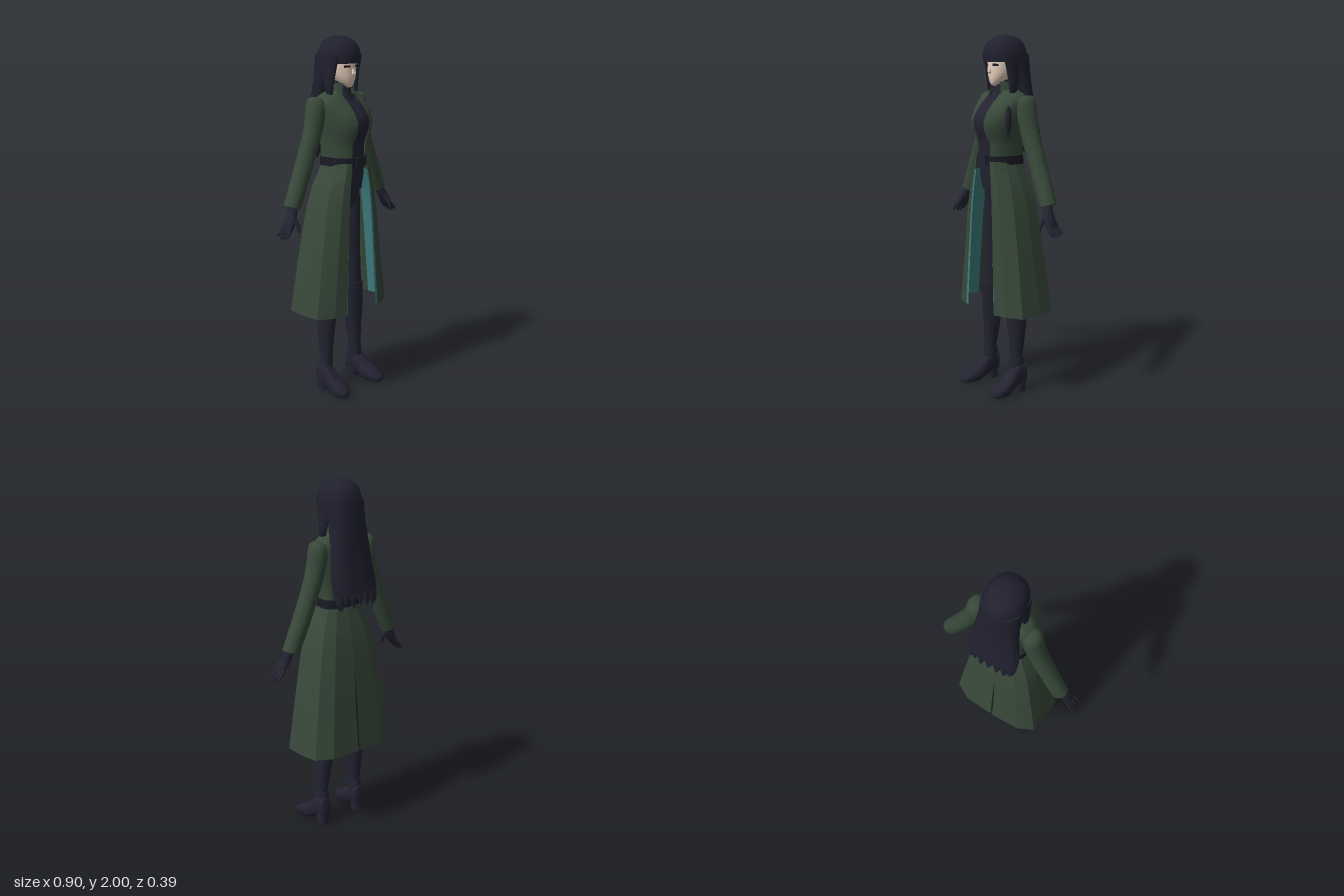
import * as THREE from 'three';
import { toCreasedNormals } from 'three/addons/utils/BufferGeometryUtils.js';

const V = (x, y, z) => new THREE.Vector3(x, y, z);
const spow = (v, p) => Math.sign(v) * Math.abs(v) ** p;

// Closed ring around c with half axes u and v; p below 1 makes it boxier
function ring(c, u, v, n = 20, p = 1, ripple = 0) {
  return Array.from({ length: n }, (_, i) => {
    const t = (i / n) * Math.PI * 2, r = 1 + ripple * (i % 2 ? 1 : -1);
    return c.clone().addScaledVector(u, r * spow(Math.cos(t), p)).addScaledVector(v, r * spow(Math.sin(t), p));
  });
}
// Horizontal ring with different depths in front (f) and behind (b)
function body(y, rx, f, b, cz = -0.01, p = 0.8, n = 32) {
  return ring(V(0, y, 0), V(rx, 0, 0), V(0, 0, 1), n, p).map((q) => V(q.x, y, cz + q.z * (q.z > 0 ? f - cz : cz - b)));
}
const oval = (x, y, z, rx, rz, n = 20) => ring(V(x, y, z), V(rx, 0, 0), V(0, 0, rz), n);
const limb = (x, y, z, a, b, tilt, n = 16) =>
  ring(V(x, y, z), V(a * Math.cos(tilt), a * Math.sin(tilt), 0), V(0, 0, b), n);

// Skin a list of rings (capped solid) or open rows (sheet)
function loft(rows, closed = true, crease = 0.9) {
  const n = rows[0].length, pts = rows.flat(), idx = [];
  const m = closed ? n : n - 1;
  for (let i = 0; i < rows.length - 1; i++) for (let j = 0; j < m; j++) {
    const a = i * n + j, b = i * n + ((j + 1) % n);
    idx.push(a, b, b + n, a, b + n, a + n);
  }
  if (closed) for (const [row, first] of [[rows[0], 0], [rows.at(-1), (rows.length - 1) * n]]) {
    const c = row.reduce((s, q) => s.add(q), V(0, 0, 0)).divideScalar(n);
    const k = pts.push(c) - 1;
    for (let j = 0; j < n; j++) {
      const a = first + j, b = first + ((j + 1) % n);
      if (first === 0) idx.push(k, b, a); else idx.push(k, a, b);
    }
  }
  // turn solids outwards
  let vol = 0;
  for (let i = 0; i < idx.length; i += 3) vol += pts[idx[i]].dot(pts[idx[i + 1]].clone().cross(pts[idx[i + 2]]));
  if (closed && vol < 0) idx.reverse();
  const g = new THREE.BufferGeometry().setFromPoints(pts);
  g.setIndex(idx);
  return toCreasedNormals(g, crease);
}

export function createModel() {
  const model = new THREE.Group();
  const mat = (name, color, side = THREE.FrontSide) => {
    const m = new THREE.MeshStandardMaterial({ color, side });
    m.name = name;
    return m;
  };
  const green = mat('coat green', 0x38493a, THREE.DoubleSide);
  const teal = mat('lining teal', 0x3f7f80, THREE.DoubleSide);
  const dark = mat('dark cloth', 0x232332);
  const hair = mat('hair', 0x20202f);
  const black = mat('belt black', 0x1a1a26);
  const skin = mat('skin', 0xe6d0bc);

  const add = (name, geo, m) => {
    const mesh = new THREE.Mesh(geo, m);
    mesh.name = name;
    model.add(mesh);
    return mesh;
  };
  const both = (name, rows, m, closed = true, crease = 0.9) => {
    for (const s of [1, -1])
      add((s > 0 ? 'left ' : 'right ') + name, loft(rows.map((r) => r.map((q) => V(q.x * s, q.y, q.z))), closed, crease), m);
  };

  // Coat top: y, half width, front depth, back depth
  const chest = [
    [1.71, 0.075, 0.066, -0.05], [1.69, 0.135, 0.07, -0.06], [1.67, 0.158, 0.085, -0.08], [1.645, 0.162, 0.115, -0.085],
    [1.61, 0.155, 0.145, -0.09], [1.58, 0.15, 0.168, -0.09], [1.55, 0.145, 0.18, -0.085], [1.5, 0.135, 0.177, -0.08],
    [1.46, 0.125, 0.162, -0.075], [1.42, 0.118, 0.151, -0.07], [1.33, 0.116, 0.152, -0.06]];
  const P = 0.8, CZ = -0.01;
  both('coat front and back', chest.map(([y, rx, f, b]) => {
    const t0 = Math.acos((0.052 / rx) ** (1 / P));
    return Array.from({ length: 19 }, (_, i) => {
      const t = t0 - (i / 18) * (t0 + Math.PI / 2), s = spow(Math.sin(t), P);
      return V(i === 18 ? 0 : rx * Math.cos(t) ** P, y, CZ + s * (s > 0 ? f - CZ : CZ - b));
    });
  }), green, false);

  // Lapels follow the chest
  const chestZ = (y, x) => {
    const i = Math.max(1, chest.findIndex((r) => r[0] <= y + 1e-6));
    const [a, b] = [chest[i - 1], chest[i]], k = (a[0] - y) / (a[0] - b[0]);
    const rx = a[1] + (b[1] - a[1]) * k, f = a[2] + (b[2] - a[2]) * k;
    return CZ + (f - CZ) * Math.max(0, 1 - (x / rx) ** (2 / P)) ** (P / 2);
  };
  const lapel = [[1.69, 0.075], [1.67, 0.088], [1.645, 0.102], [1.61, 0.125], [1.595, 0.112], [1.55, 0.1], [1.5, 0.08], [1.45, 0.056]];
  both('lapel', lapel.map(([y, w]) => [0, 1, 2, 3, 4].map((i) => {
    const x = 0.05 + ((w - 0.05) * i) / 4;
    return V(x, y, chestZ(y, x) + 0.008);
  })), green, false);

  // Standing collar
  both('collar', [[1.685, 0.08, 0.072], [1.72, 0.07, 0.068], [1.755, 0.066, 0.07]].map(([y, rx, f]) =>
    Array.from({ length: 10 }, (_, i) => {
      const t = 0.9 - (i / 9) * (0.9 + Math.PI / 2), s = Math.sin(t);
      return V(i === 9 ? 0 : rx * Math.cos(t), y, 0.01 + s * (s > 0 ? f : 0.055));
    })), green, false);

  // Faceted coat skirt, open in front and slit behind
  const waist = [[0.06, 0.15], [0.085, 0.14], [0.11, 0.08], [0.117, 0.02], [0.102, -0.035], [0.06, -0.058], [0, -0.065]];
  const hem = [[0.13, 0.178], [0.205, 0.156], [0.288, 0.1], [0.287, -0.02], [0.272, -0.122], [0.18, -0.17], [0, -0.177]];
  const levels = [[1.33, 0], [1.27, 0.12], [1.2, 0.29], [1.1, 0.45], [1.0, 0.56], [0.75, 0.78], [0.485, 1]];
  const skirtRow = ([y, k]) => waist.map(([x, z], i) =>
    V(i === 6 ? (y < 1 ? 0.005 : 0) : x + (hem[i][0] - x) * k, y, z + (hem[i][1] - z) * k));
  both('coat skirt', levels.map(skirtRow), green, false, 0.15);
  both('skirt lining', levels.slice(1).map((l) => skirtRow(l).slice(0, 4).map((q, i) =>
    V(q.x - (i ? 0.007 : 0.011 * l[1]), q.y, q.z - (i < 2 ? 0.006 : 0.002)))), teal, false, 0.15);

  // Belt and buckle
  add('belt', loft([body(1.31, 0.124, 0.157, -0.07), body(1.358, 0.122, 0.157, -0.067)]), black);
  add('buckle', new THREE.BoxGeometry(0.07, 0.054, 0.012), dark).position.set(0, 1.334, 0.157);

  // Shirt, turtleneck and hips
  add('shirt', loft([...chest.slice(2).map(([y, rx, f, b]) => body(y, rx - 0.012, f - 0.006, b + 0.012)),
    body(1.25, 0.103, 0.142, -0.05), body(1.17, 0.106, 0.125, -0.06)]), dark);
  add('hips', loft([body(1.2, 0.102, 0.115, -0.06), body(1.12, 0.11, 0.1, -0.065), body(1.06, 0.085, 0.07, -0.05)]), dark);
  add('turtleneck', loft([oval(0, 1.765, 0.022, 0.045, 0.045), oval(0, 1.7, 0.018, 0.05, 0.05), oval(0, 1.64, 0.02, 0.075, 0.085)]), dark);

  // Sleeves and cuffs
  both('sleeve', [limb(0.165, 1.683, -0.02, 0.022, 0.03, 0.1), limb(0.163, 1.668, -0.02, 0.042, 0.05, 0.15),
    limb(0.163, 1.63, -0.02, 0.054, 0.058, 0.25), limb(0.172, 1.57, -0.02, 0.055, 0.056, 0.32), limb(0.193, 1.49, -0.02, 0.051, 0.052, 0.37),
    limb(0.235, 1.38, -0.021, 0.05, 0.05, 0.37), limb(0.275, 1.285, -0.021, 0.05, 0.049, 0.37), limb(0.352, 1.112, -0.02, 0.048, 0.046, 0.37)], green);

  // Gloves
  both('glove', [limb(0.345, 1.135, -0.015, 0.028, 0.026, 0.4), limb(0.367, 1.085, -0.005, 0.025, 0.028, 0.45),
    limb(0.385, 1.05, 0.002, 0.024, 0.036, 0.5), limb(0.407, 1.015, 0.003, 0.019, 0.038, 0.55), limb(0.415, 1.003, 0.003, 0.01, 0.03, 0.55)], dark);
  [[-0.026, -0.034, 0.972], [-0.008, -0.012, 0.96], [0.011, 0.012, 0.962], [0.029, 0.036, 0.972]].forEach(([z0, z1, y1], i) =>
    both('finger ' + (i + 1), [limb(0.402, 1.022, z0, 0.012, 0.011, 0.6, 8), limb(0.427, 0.993, (z0 + z1) / 2, 0.011, 0.01, 0.6, 8),
      limb(0.447, y1, z1, 0.006, 0.006, 0.6, 8)], dark));
  both('thumb', [limb(0.376, 1.065, 0.02, 0.014, 0.016, 0.2, 8), limb(0.376, 1.025, 0.05, 0.012, 0.012, 0.2, 8),
    limb(0.378, 0.99, 0.06, 0.006, 0.006, 0.2, 8)], dark);

  // Trouser legs and tall boot shafts
  both('leg', [oval(0.055, 1.14, 0.015, 0.054, 0.075), oval(0.062, 1.0, 0.015, 0.052, 0.073), oval(0.074, 0.82, 0.012, 0.049, 0.066),
    oval(0.088, 0.68, 0.012, 0.048, 0.06), oval(0.098, 0.56, 0.01, 0.05, 0.058)], dark);
  both('boot shaft', [oval(0.096, 0.605, 0.012, 0.056, 0.064), oval(0.105, 0.52, 0.006, 0.058, 0.064), oval(0.113, 0.42, 0.003, 0.053, 0.059),
    oval(0.118, 0.3, 0.005, 0.041, 0.046), oval(0.122, 0.2, 0.012, 0.033, 0.036), oval(0.126, 0.11, 0.008, 0.036, 0.042)], dark);
  both('ankle strap', [oval(0.122, 0.2, 0.011, 0.037, 0.041), oval(0.123, 0.165, 0.009, 0.039, 0.043)], dark);
  // Boot foot: z, bottom, top, half width
  const foot = [[-0.046, 0.06, 0.12, 0.018], [-0.036, 0.045, 0.16, 0.035], [0.02, 0.038, 0.17, 0.04], [0.06, 0.018, 0.13, 0.043],
    [0.1, 0, 0.095, 0.047], [0.15, 0, 0.065, 0.047], [0.185, 0.002, 0.048, 0.035], [0.2, 0.008, 0.034, 0.014]];
  both('boot foot', foot.map(([z, b, t, w]) =>
    ring(V(0.128 + Math.max(0, z) * 0.11, (b + t) / 2, z), V(w, 0, 0), V(0, (t - b) / 2, 0), 20, 0.7)), dark);
  both('boot heel', [oval(0.13, 0.08, -0.004, 0.036, 0.038), oval(0.132, 0, -0.006, 0.033, 0.034)], dark);

  // Face
  add('face', loft([[1.93, 0.01, 0.078, 0.08], [1.85, 0.014, 0.078, 0.086], [1.825, 0.016, 0.075, 0.083], [1.8, 0.02, 0.069, 0.081],
    [1.775, 0.032, 0.056, 0.067], [1.75, 0.05, 0.036, 0.045], [1.735, 0.062, 0.017, 0.027], [1.73, 0.066, 0.006, 0.012]]
    .map(([y, z, rx, rz]) => oval(0, y, z, rx, rz, 28))), skin);
  add('nose', loft([oval(0, 1.835, 0.094, 0.006, 0.006, 8), oval(0, 1.805, 0.102, 0.009, 0.015, 8), oval(0, 1.797, 0.098, 0.007, 0.006, 8)]), skin);
  for (const s of [1, -1]) {
    const eye = add((s > 0 ? 'left' : 'right') + ' eye', new THREE.BoxGeometry(0.032, 0.012, 0.008), black);
    eye.position.set(s * 0.036, 1.844, 0.09);
    eye.rotation.y = s * 0.45;
  }

  // Hair cap with straight fringe
  add('hair cap', loft([[2, 0.012, 0.005, -0.02], [1.993, 0.045, 0.045, -0.055], [1.975, 0.074, 0.083, -0.087], [1.95, 0.094, 0.106, -0.107],
    [1.915, 0.106, 0.119, -0.12], [1.88, 0.111, 0.121, -0.127], [1.86, 0.11, 0.117, -0.13]]
    .map(([y, rx, f, b]) => body(y, rx, f, b, -0.005, 0.95))), hair);
  both('side lock', [oval(0.092, 1.9, 0.02, 0.018, 0.06), oval(0.094, 1.82, 0.015, 0.018, 0.045), oval(0.098, 1.75, 0.015, 0.016, 0.032),
    oval(0.098, 1.7, 0.02, 0.012, 0.022), oval(0.088, 1.665, 0.025, 0.003, 0.005)], hair);

  // Long back hair ending in pointed strands
  add('back hair', loft([[1.9, -0.035, 0.108, 0.092], [1.82, -0.05, 0.111, 0.082], [1.75, -0.07, 0.112, 0.065], [1.65, -0.088, 0.122, 0.056],
    [1.55, -0.102, 0.134, 0.054], [1.47, -0.12, 0.143, 0.05], [1.41, -0.135, 0.142, 0.045]]
    .map(([y, z, rx, rz], i) => ring(V(0, y, z), V(rx, 0, 0), V(0, 0, rz), 44, 0.9, i * 0.004))), hair);
  for (let i = 0; i < 16; i++) {
    const t = (i / 16) * Math.PI * 2, x = 0.12 * Math.cos(t), z = -0.133 + 0.03 * Math.sin(t), drop = 0.025 * ((i * 7) % 5) / 4;
    add('hair strand ' + (i + 1), loft([oval(x * 0.95, 1.48, z + 0.012, 0.024, 0.016, 8), oval(x, 1.4, z - 0.004, 0.026, 0.017, 8),
      oval(x * 1.04, 1.365 + drop / 2, z - 0.012, 0.016, 0.012, 8), oval(x * 1.04, 1.325 + drop, z - 0.022, 0.002, 0.002, 8)]), hair);
  }
  // Loose lock over the left chest
  add('loose lock', loft([oval(0.115, 1.66, 0.06, 0.008, 0.01, 8), oval(0.142, 1.59, 0.085, 0.013, 0.018, 8),
    oval(0.145, 1.53, 0.088, 0.014, 0.018, 8), oval(0.142, 1.46, 0.09, 0.002, 0.003, 8)]), hair);

  return model;
}
